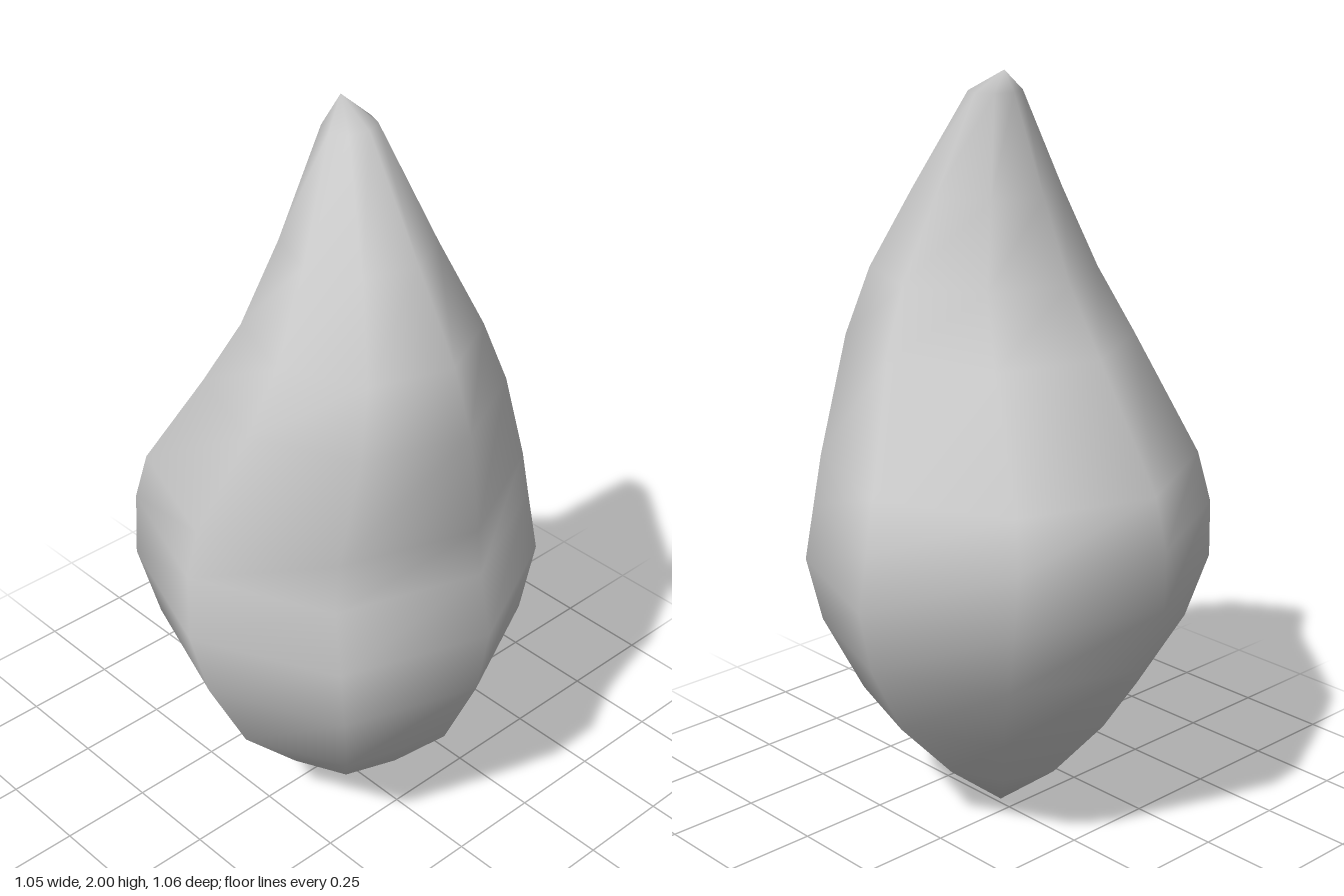
import * as THREE from 'three';

const SIDES = 8;
const TURN = -0.057;

// Cross-sections from bottom to top: height, min x, max x, back z, front z
const rings = [
  [0.15, -0.21, 0.17, -0.14, 0.25],
  [0.34, -0.39, 0.35, -0.31, 0.42],
  [0.55, -0.49, 0.47, -0.45, 0.51],
  [0.73, -0.53, 0.525, -0.52, 0.535],
  [0.89, -0.505, 0.52, -0.53, 0.49],
  [1.02, -0.48, 0.485, -0.49, 0.48],
  [1.31, -0.4, 0.335, -0.27, 0.48],
  [1.48, -0.325, 0.25, -0.16, 0.43],
  [1.69, -0.21, 0.157, -0.085, 0.3],
  [1.945, -0.05, 0.09, -0.035, 0.09],
];
const bottomTip = [-0.015, 0, 0.05];
const topTip = [0.035, 2, -0.02];

function bentBodyGeometry() {
  const positions = [];
  const index = [];
  for (const [y, x0, x1, z0, z1] of rings) {
    for (let i = 0; i < SIDES; i++) {
      const a = TURN + (i / SIDES) * Math.PI * 2;
      positions.push(
        (x0 + x1) / 2 + ((x1 - x0) / 2) * Math.cos(a),
        y,
        (z0 + z1) / 2 + ((z1 - z0) / 2) * Math.sin(a)
      );
    }
  }
  const bottom = rings.length * SIDES;
  const top = bottom + 1;
  positions.push(...bottomTip, ...topTip);

  const last = (rings.length - 1) * SIDES;
  for (let i = 0; i < SIDES; i++) {
    const j = (i + 1) % SIDES;
    // Side strips between neighbouring cross-sections
    for (let r = 0; r < last; r += SIDES) {
      const a = r + i, b = r + j, c = a + SIDES, d = b + SIDES;
      index.push(a, c, b, b, c, d);
    }
    // Pointed ends
    index.push(bottom, i, j);
    index.push(last + i, top, last + j);
  }

  const geometry = new THREE.BufferGeometry();
  geometry.setAttribute('position', new THREE.Float32BufferAttribute(positions, 3));
  geometry.setIndex(index);
  geometry.computeVertexNormals();
  return geometry;
}

export function createModel() {
  const group = new THREE.Group();
  group.name = 'bentBud';
  // One smooth eight-sided body with a leaning tip
  const body = new THREE.Mesh(
    bentBodyGeometry(),
    new THREE.MeshStandardMaterial({ color: 0xcccccc })
  );
  body.name = 'budBody';
  group.add(body);
  return group;
}
